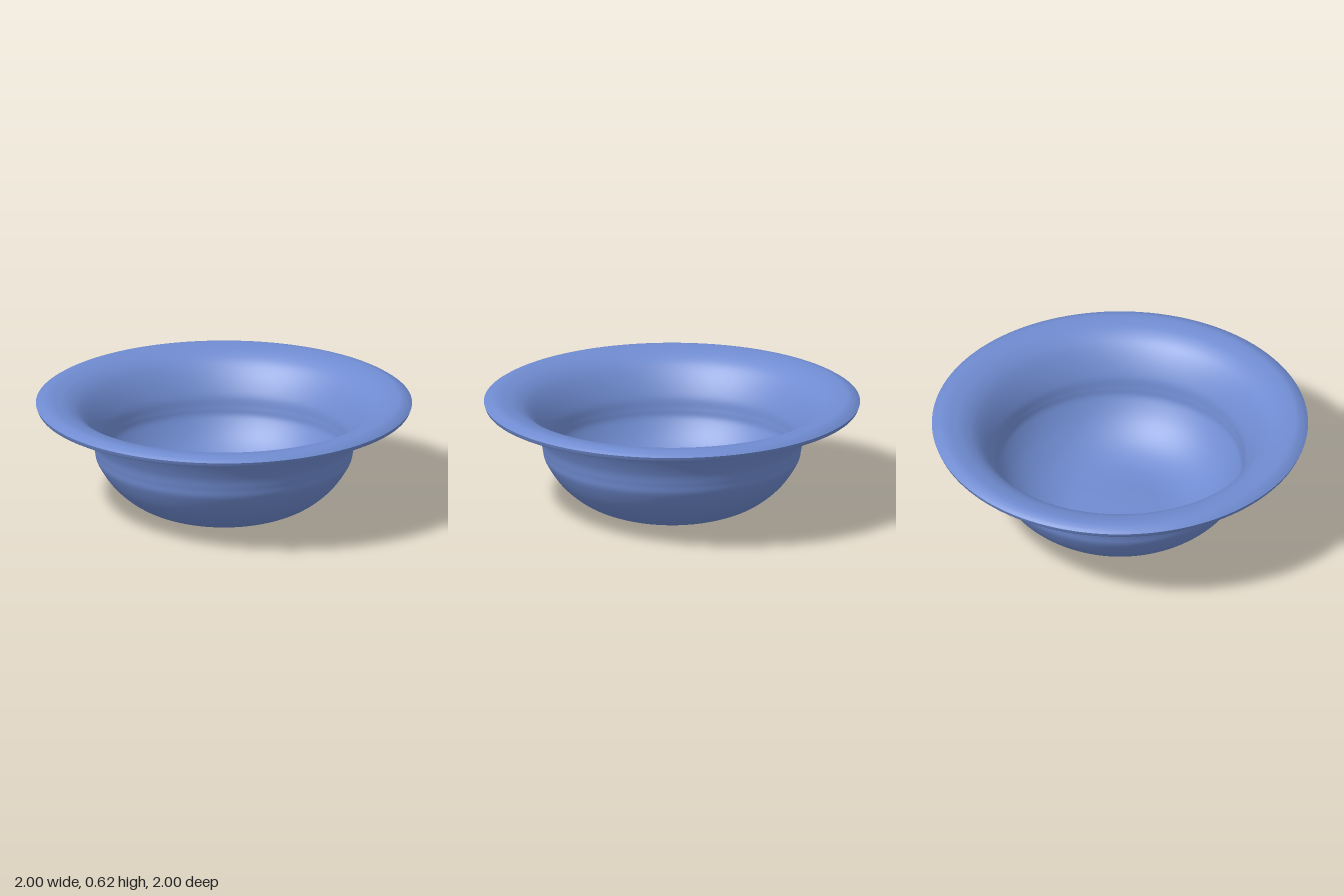
import * as THREE from 'three';

// Smooth curve through [radius, height] pairs, revolved around y
function revolve(name, points, samples, material) {
  const curve = new THREE.SplineCurve(points.map(([r, y]) => new THREE.Vector2(r, y)));
  const profile = curve.getPoints(samples);
  profile.forEach((p) => { p.x = Math.max(p.x, 0); });
  const mesh = new THREE.Mesh(new THREE.LatheGeometry(profile, 128), material);
  mesh.name = name;
  return mesh;
}

export function createModel() {
  const group = new THREE.Group();
  group.name = 'bowl';
  const glaze = new THREE.MeshStandardMaterial({ color: 0x6f8bd0, side: THREE.DoubleSide });

  // Outer wall: flat base, round belly, waist, flare and hollow under the rim
  group.add(revolve('outerWall', [
    [0, 0.012], [0.15, 0.008], [0.29, 0.002], [0.39, 0.024], [0.5, 0.078], [0.6, 0.165],
    [0.672, 0.272], [0.688, 0.335], [0.703, 0.4], [0.745, 0.485], [0.79, 0.543],
    [0.84, 0.571], [0.9, 0.582], [0.95, 0.577], [0.985, 0.566],
  ], 90, glaze));

  // Narrow outer edge of the rim
  group.add(revolve('rimEdge', [[0.985, 0.566], [0.992, 0.571], [1, 0.592]], 6, glaze));

  // Rim top and inside, with a soft ridge at the waist
  group.add(revolve('innerWall', [
    [1, 0.592], [0.975, 0.607], [0.94, 0.617], [0.89, 0.612], [0.83, 0.594], [0.77, 0.555],
    [0.715, 0.488], [0.67, 0.405], [0.655, 0.34], [0.64, 0.285], [0.575, 0.19],
    [0.485, 0.11], [0.385, 0.06], [0.28, 0.038], [0.14, 0.042], [0, 0.046],
  ], 90, glaze));

  return group;
}
